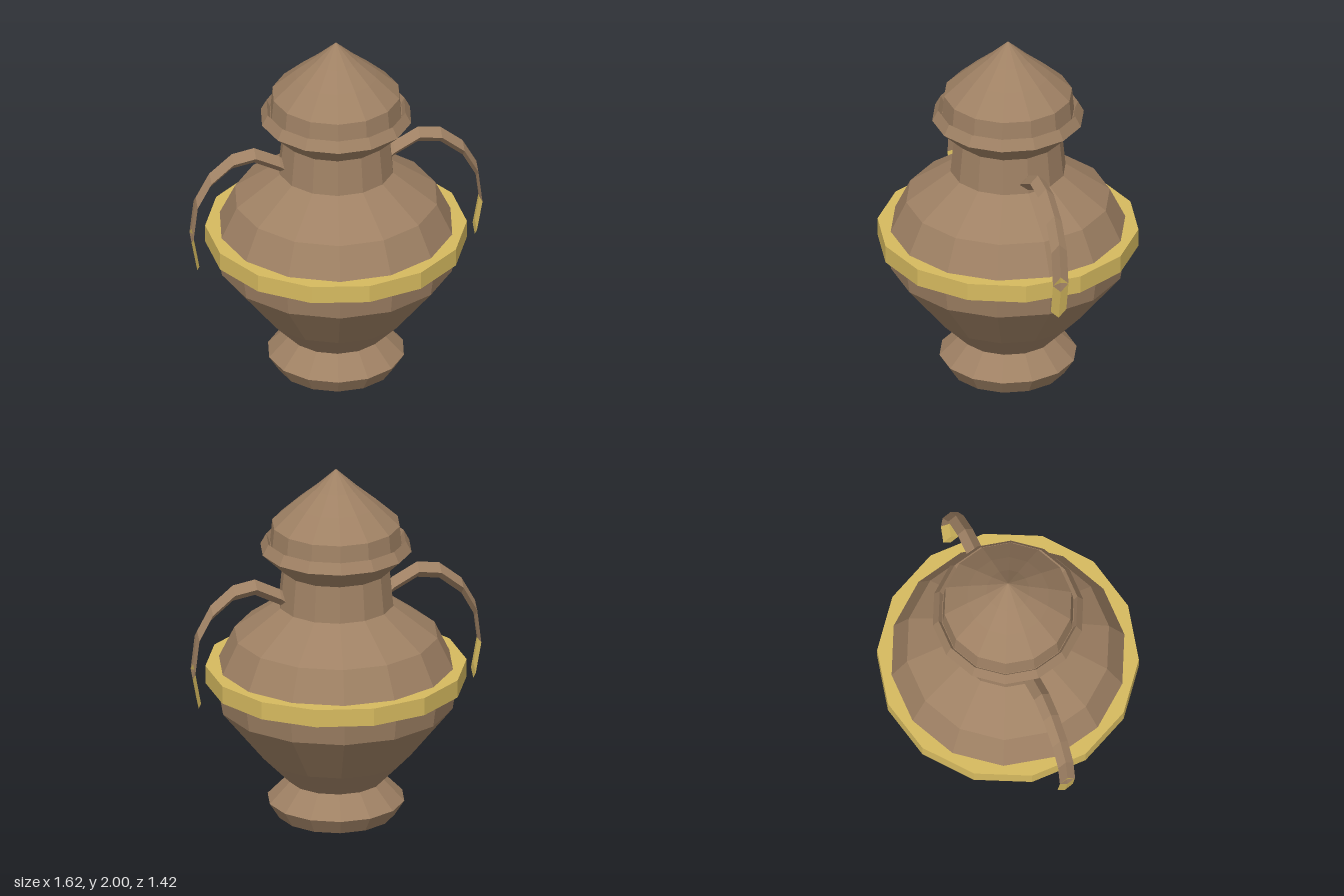
import * as THREE from 'three';

const SIDES = 14;
const STEP = (Math.PI * 2) / SIDES;

// Unshared corners give every facet its own flat normal
function faceted(geometry) {
  const flat = geometry.index ? geometry.toNonIndexed() : geometry;
  flat.computeVertexNormals();
  return flat;
}

function turned(name, profile, material, phiStart) {
  const points = profile.map(([r, y]) => new THREE.Vector2(r, y));
  const mesh = new THREE.Mesh(faceted(new THREE.LatheGeometry(points, SIDES, phiStart)), material);
  mesh.name = name;
  return mesh;
}

// Diamond section, always upright in the y-z plane, swept along an x-y path
function diamondSweep(name, path, material, capStart, capEnd) {
  const R = 0.045;
  const section = [[R, 0], [0, R], [-R, 0], [0, -R]];
  const positions = [];
  const index = [];
  for (const [x, y] of path) {
    for (const [dy, dz] of section) positions.push(x, y + dy, dz);
  }
  for (let i = 0; i < path.length - 1; i++) {
    for (let j = 0; j < 4; j++) {
      const a = i * 4 + j;
      const b = i * 4 + ((j + 1) % 4);
      index.push(a, b, a + 4, b, b + 4, a + 4);
    }
  }
  if (capStart) index.push(0, 2, 1, 0, 3, 2);
  const e = (path.length - 1) * 4;
  if (capEnd) index.push(e, e + 1, e + 2, e, e + 2, e + 3);
  const geometry = new THREE.BufferGeometry();
  geometry.setAttribute('position', new THREE.Float32BufferAttribute(positions, 3));
  geometry.setIndex(index);
  const mesh = new THREE.Mesh(faceted(geometry), material);
  mesh.name = name;
  return mesh;
}

export function createModel() {
  const clay = new THREE.MeshStandardMaterial({ color: 0x9f8164 });
  clay.name = 'brown clay';
  const gold = new THREE.MeshStandardMaterial({ color: 0xd6ba5f });
  gold.name = 'gold';
  const handleClay = new THREE.MeshStandardMaterial({ color: 0x9f8164, side: THREE.DoubleSide });
  handleClay.name = 'brown clay handle';
  const handleGold = new THREE.MeshStandardMaterial({ color: 0xd6ba5f, side: THREE.DoubleSide });
  handleGold.name = 'gold handle tip';

  const urn = new THREE.Group();
  urn.name = 'urn';

  // Foot, belly, neck and flared rim with a groove for the lid
  urn.add(turned('body', [
    [0, 0], [0.32, 0], [0.375, 0.087], [0.262, 0.203], [0.41, 0.355],
    [0.64, 0.64], [0.66, 0.77], [0.642, 0.87], [0.557, 1.045], [0.315, 1.22],
    [0.295, 1.425], [0.415, 1.54], [0.383, 1.6], [0.365, 1.56], [0.3, 1.56],
  ], clay, STEP / 2));

  // Pointed lid
  urn.add(turned('lid', [
    [0.362, 1.56], [0.35, 1.685], [0.225, 1.8], [0.118, 1.89], [0, 2],
  ], clay, STEP / 2));

  // Band around the belly, turned half a facet against the body
  urn.add(turned('bellyBand', [
    [0.6, 0.77], [0.71, 0.77], [0.71, 0.87], [0.6, 0.87],
  ], gold, 0));

  // Pair of arched handles with gold tips
  const arch = [[0.27, 1.25], [0.32, 1.29], [0.46, 1.362], [0.585, 1.342], [0.71, 1.24], [0.787, 1.1], [0.81, 0.91]];
  const tip = [[0.81, 0.91], [0.778, 0.735]];
  for (const side of [1, -1]) {
    const handle = new THREE.Group();
    handle.name = side > 0 ? 'leftHandle' : 'rightHandle';
    handle.add(diamondSweep('handleArch', arch, handleClay, true, false));
    handle.add(diamondSweep('handleTip', tip, handleGold, false, true));
    if (side < 0) handle.rotation.y = Math.PI;
    urn.add(handle);
  }
  return urn;
}
